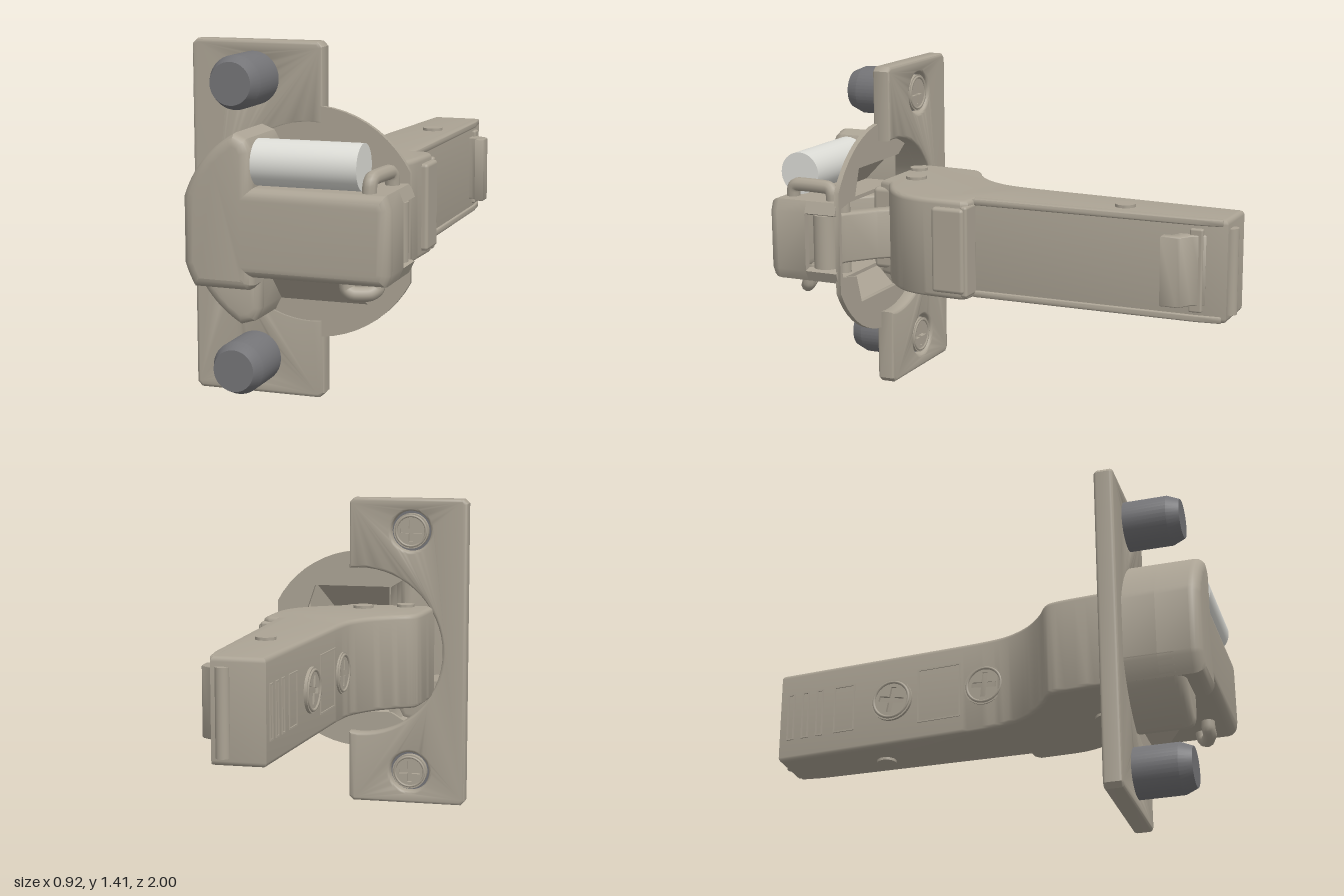
import * as THREE from 'three';
import { toCreasedNormals } from 'three/addons/utils/BufferGeometryUtils.js';
import { RoundedBoxGeometry } from 'three/addons/geometries/RoundedBoxGeometry.js';

const mat = (color) => new THREE.MeshStandardMaterial({ color, side: THREE.DoubleSide });
const V = (x, y, z) => new THREE.Vector3(x, y, z);
const MID = 0.707; // height of the arm and cup axis
const CX = 0.035; // cup centre in x

export function createModel() {
  const model = new THREE.Group();
  const metal = mat(0xaba394), dark = mat(0x747477), pale = mat(0xdcdcd6);

  const add = (name, geo, m = metal, parent = model) => {
    const mesh = new THREE.Mesh(geo, m);
    mesh.name = name;
    parent.add(mesh);
    return mesh;
  };
  const box = (name, x0, x1, y0, y1, z0, z1, r = 0.012) => {
    const mesh = add(name, new RoundedBoxGeometry(x1 - x0, y1 - y0, z1 - z0, 2, r));
    mesh.position.set((x0 + x1) / 2, (y0 + y1) / 2, (z0 + z1) / 2);
    return mesh;
  };
  const toShape = (pts) => new THREE.Shape(pts.map(([x, y]) => new THREE.Vector2(x, y)));
  // slab between two depths, with edges rounded inside the outline
  const slab = (shape, z0, z1, bevel = 0) => {
    const geo = new THREE.ExtrudeGeometry(shape, {
      depth: z1 - z0 - 2 * bevel, bevelEnabled: bevel > 0, bevelSize: bevel,
      bevelThickness: bevel, bevelOffset: -bevel, bevelSegments: 4, curveSegments: 24,
    });
    geo.translate(0, 0, z0 + bevel);
    return toCreasedNormals(geo, 0.6);
  };
  // same, for an outline given in plan as x, z and raised between two heights
  const planSlab = (pts, y0, y1, bevel = 0) =>
    slab(toShape(pts.map(([x, z]) => [x, -z])), y0, y1, bevel).rotateX(-Math.PI / 2);
  const arc = (r, a0, a1, n = 16) => Array.from({ length: n + 1 }, (_, i) => {
    const a = THREE.MathUtils.degToRad(a0 + ((a1 - a0) * i) / n);
    return [CX + r * Math.cos(a), MID + r * Math.sin(a)];
  });
  const inset = (pts, cx, cy, sx, sy) => pts.map(([x, y]) => [cx + (x - cx) * sx, cy + (y - cy) * sy]);
  const circlePath = (x, y, r) => new THREE.Path().absarc(x, y, r, 0, Math.PI * 2, true);

  // screw head with a cross recess, facing -z
  const screw = (name, r, x, y, z, turn = 0, parent = model) => {
    const g = new THREE.Group();
    g.name = name;
    const head = new THREE.Shape().absarc(0, 0, r, 0, Math.PI * 2);
    const w = r * 0.13, l = r * 0.62;
    head.holes.push(new THREE.Path([[w, w], [w, l], [-w, l], [-w, w], [-l, w], [-l, -w], [-w, -w],
      [-w, -l], [w, -l], [w, -w], [l, -w], [l, w]].map(([a, b]) => new THREE.Vector2(a, b))));
    add('screwHead', slab(head, 0, 0.03), metal, g);
    add('screwRecess', new THREE.CylinderGeometry(r * 0.95, r * 0.95, 0.02, 32).rotateX(Math.PI / 2), metal, g)
      .position.z = 0.032;
    add('screwRim', new THREE.TorusGeometry(r * 0.86, r * 0.07, 6, 32), metal, g);
    g.position.set(x, y, z);
    g.rotation.z = turn;
    parent.add(g);
    return g;
  };

  // mounting plate with a round notch around the cup
  const plate = toShape([[-0.44, 0], [0.065, 0], [0.085, 0.02], ...arc(0.385, 277.5, 82.5, 32),
    [0.085, 1.39], [0.065, 1.41], [-0.44, 1.41], [-0.46, 1.39], [-0.46, 0.02]]);
  for (const y of [0.148, 1.263]) plate.holes.push(circlePath(-0.2, y, 0.092));
  add('mountingPlate', slab(plate, 0.605, 0.685, 0.014));

  // thin round flange, open toward the cup
  const flange = toShape(arc(0.458, 28, 332, 48));
  flange.holes.push(toShape([[0.42, 0.56], [0.42, 0.855], [0.3, 0.88], [0.26, 1.0], [-0.1, 1.0],
    ...arc(0.4, 122, 238), [-0.1, 0.414], [0.26, 0.414], [0.3, 0.535]]));
  add('cupFlange', slab(flange, 0.662, 0.684));

  // dowels in front, screws behind
  for (const y of [0.148, 1.263]) {
    const dowel = new THREE.LatheGeometry([[0, 0.65], [0.105, 0.65], [0.105, 0.868], [0.083, 0.92], [0, 0.92]]
      .map(([r, h]) => new THREE.Vector2(r, h)), 40).rotateX(Math.PI / 2);
    add('dowel', toCreasedNormals(dowel, 0.4), dark).position.set(-0.2, y, 0);
    screw('plateScrew', 0.08, -0.2, y, 0.612);
  }

  // cup: walls open at the back, rounded front
  const cup = [[0.455, 0.83], [0.435, 0.88], [-0.09, 0.88], [-0.09, 1.02], [-0.115, 1.065], ...arc(0.428, 118, 162.4, 12),
    ...arc(0.428, 197.6, 211, 5), [-0.11, 0.485], [-0.09, 0.505], [-0.09, 0.535], [0.435, 0.535], [0.455, 0.58]];
  const cupInside = inset(cup, -0.2, 0.7, 0.95, 0.91);
  const ring = toShape(cup);
  ring.holes.push(toShape(cupInside));
  add('cupSideWalls', slab(toShape([...cup, ...[...cupInside].reverse()]), 0.675, 0.82));
  add('cupWalls', slab(ring, 0.82, 0.955));
  add('cupFront', slab(toShape(cup), 0.91, 1.0, 0.045));
  const lobe = [...arc(0.428, 198, 241, 12), [-0.115, 0.35], [-0.09, 0.4], [-0.09, 0.535]];
  const lobeRing = toShape(lobe);
  lobeRing.holes.push(toShape(inset(lobe, -0.18, 0.47, 0.86, 0.88)));
  add('lowerLobeWalls', slab(lobeRing, 0.675, 0.875));
  add('lowerLobeFront', slab(toShape(lobe), 0.835, 0.92, 0.035));

  // sloping shoulders between flange and cup
  for (const s of [1, -1]) {
    const at = (x, h, z) => [x, MID + s * h, z];
    const a = at(-0.09, 0.315, 0.68), b = at(0.27, 0.315, 0.68), c = at(0.2, 0.172, 0.82),
      d = at(-0.09, 0.172, 0.82), e = at(0.29, 0.172, 0.68);
    const faces = [a, d, c, a, c, b, b, c, e].flat();
    const geo = new THREE.BufferGeometry();
    geo.setAttribute('position', new THREE.Float32BufferAttribute(faces, 3));
    geo.computeVertexNormals();
    const m = metal.clone();
    m.flatShading = true;
    add('shoulder', geo, m);
  }

  // damper cylinder on top of the cup
  add('damper', new THREE.CylinderGeometry(0.09, 0.09, 0.42, 40).rotateZ(Math.PI / 2), pale)
    .position.set(0.12, 0.972, 0.91);

  // wire clips above and below the cup
  const wire = (name, pts) => add(name, new THREE.TubeGeometry(
    new THREE.CatmullRomCurve3(pts.map((p) => V(...p)), false, 'catmullrom', 0.3), 40, 0.029, 10));
  wire('upperClip', [[0.355, 0.84, 0.93], [0.358, 0.91, 0.925], [0.362, 0.932, 0.9], [0.375, 0.932, 0.75],
    [0.38, 0.91, 0.725], [0.38, 0.84, 0.72]]);
  wire('lowerClip', [[0.255, 0.56, 0.9], [0.26, 0.505, 0.9], [0.285, 0.487, 0.9], [0.34, 0.487, 0.88],
    [0.365, 0.505, 0.86], [0.37, 0.56, 0.85]]);

  // hinge roller and the links from cup to arm
  add('hingeRoller', new THREE.CylinderGeometry(0.052, 0.052, 0.23, 24)).position.set(0.4, MID, 0.75);
  add('outerLink', planSlab([[0.41, 0.71], [0.33, 0.69], [0.22, 0.6], [0.14, 0.5], [0.08, 0.54],
    [0.18, 0.66], [0.29, 0.75], [0.4, 0.79]], 0.6, 0.815, 0.01));
  add('innerLink', planSlab([[-0.2, 0.6], [-0.1, 0.58], [0.14, 0.82], [0.16, 0.88], [0.08, 0.89], [-0.06, 0.76]],
    0.58, 0.835, 0.012));
  box('linkBracket', -0.12, 0.11, 0.53, 0.89, 0.55, 0.68, 0.02);
  for (const [x, z] of [[0.1, 0.85], [0.3, 0.72]])
    add('linkPin', new THREE.CylinderGeometry(0.03, 0.03, 0.31, 20)).position.set(x, MID, z);

  // cranked arm
  const bend = (pts, n) => new THREE.SplineCurve(pts.map(([x, z]) => new THREE.Vector2(x, z)))
    .getPoints(n).map((p) => [p.x, p.y]);
  add('arm', planSlab([[0.045, -0.97], [0.262, -0.97], [0.272, -0.85], [0.276, 0.11], [0.335, 0.115], [0.36, 0.14],
    ...bend([[0.355, 0.3], [0.345, 0.37], [0.31, 0.45], [0.23, 0.53], [0.11, 0.6]], 14), [0.09, 0.65], [-0.305, 0.65],
    ...bend([[-0.303, 0.55], [-0.29, 0.39], [-0.265, 0.335], [-0.2, 0.295], [-0.11, 0.215], [-0.05, 0.115],
      [-0.027, 0.02], [-0.015, -0.1]], 28)], 0.5, 0.92, 0.02));
  for (const y of [0.5, 0.892])
    add('armLip', planSlab([[0.24, -0.95], [0.268, -0.95], [0.28, -0.85], [0.288, 0.12], [0.24, 0.12]], y, y + 0.028, 0.006));
  box('armStop', 0.3, 0.383, 0.53, 0.89, 0.12, 0.265, 0.015);
  box('armStopRidge', 0.27, 0.37, 0.515, 0.9, 0.108, 0.14);

  // latch at the tail
  add('latchHook', planSlab([[0.25, -0.88], [0.272, -0.885], [0.3, -0.835], [0.345, -0.805], [0.352, -0.79], [0.352, -0.722],
    [0.312, -0.722], [0.31, -0.755], [0.285, -0.77], [0.25, -0.77]], 0.57, 0.855, 0.005));
  box('latchBase', 0.25, 0.287, 0.54, 0.88, -0.875, -0.82, 0.008);
  add('tailBead', new THREE.CylinderGeometry(0.028, 0.028, 0.35, 20)).position.set(0.215, MID, -0.972);

  // rivets through the arm
  for (const [x, z, r] of [[0.172, -0.51, 0.043], [0, 0.522, 0.045], [-0.18, 0.6, 0.04]])
    add('rivet', toCreasedNormals(new THREE.CylinderGeometry(r, r, 0.444, 28), 0.6)).position.set(x, 0.71, z);

  // adjusting screws and slots on the narrow side of the arm
  const side = new THREE.Group();
  side.name = 'armSideDetails';
  side.position.set(-0.022, 0, 0);
  side.rotation.y = Math.PI / 2 - 0.067; // local -z points out of the side, local x runs to the tail
  model.add(side);
  screw('adjustingScrew', 0.095, 0.43, MID, -0.012, 0.2, side);
  screw('adjustingScrew', 0.09, 0.0, MID, -0.008, 0.1, side);
  for (const [x, w, h] of [[0.92, 0.035, 0.22], [0.85, 0.035, 0.22], [0.78, 0.035, 0.22], [0.66, 0.1, 0.22], [0.21, 0.2, 0.25]]) {
    const frame = toShape([[-w / 2, -h / 2], [w / 2, -h / 2], [w / 2, h / 2], [-w / 2, h / 2]]);
    const i = 0.007;
    frame.holes.push(toShape([[-w / 2 + i, -h / 2 + i], [w / 2 - i, -h / 2 + i], [w / 2 - i, h / 2 - i], [-w / 2 + i, h / 2 - i]]));
    add('slotFrame', slab(frame, -0.004, 0.012), metal, side).position.set(x, MID, 0);
  }
  return model;
}
